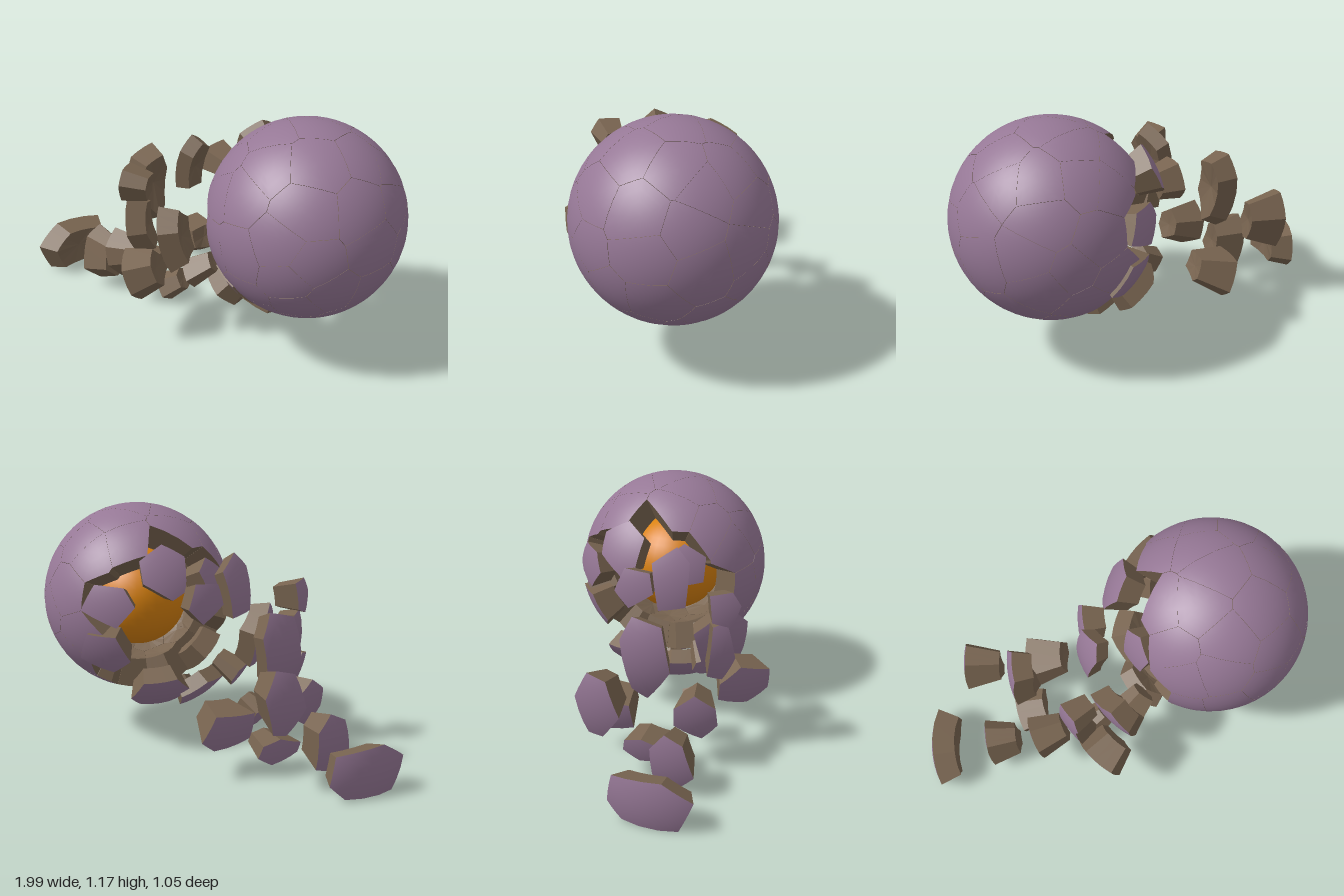
import * as THREE from 'three';
import { mergeGeometries } from 'three/addons/utils/BufferGeometryUtils.js';

const R = 0.47, INNER = 0.33;
const CENTRE = new THREE.Vector3(0.53, 0.71, 0.05);
const HOLE = new THREE.Vector3(-0.86, -0.25, -0.46).normalize();
const BLAST = new THREE.Vector3(-0.75, 0.2, -0.63);

const crust = new THREE.MeshStandardMaterial({ color: 0x967896 });
const rock = new THREE.MeshStandardMaterial({ color: 0x786450, flatShading: true });
const lava = new THREE.MeshStandardMaterial({ color: 0xd9820f });

let seed = 11;
const rand = () => (seed = (seed * 16807) % 2147483647) / 2147483647;

function geometryFrom(points, normals) {
  const g = new THREE.BufferGeometry();
  const flat = list => new Float32Array(list.flatMap(p => [p.x, p.y, p.z]));
  g.setAttribute('position', new THREE.BufferAttribute(flat(points), 3));
  if (normals) g.setAttribute('normal', new THREE.BufferAttribute(flat(normals), 3));
  else g.computeVertexNormals();
  return g;
}

// A block of shell: curved outer cap, plus flat walls and an inner face.
// The corners run counter-clockwise around the axis, seen from outside.
function shellBlock(axis, corners, inner, steps = 3) {
  const rim = [];
  corners.forEach((a, i) => {
    const b = corners[(i + 1) % corners.length];
    for (let k = 0; k < steps; k++) rim.push(a.clone().lerp(b, k / steps));
  });
  const cap = [], body = [];
  const at = (p, t) => axis.clone().lerp(p, t).normalize();
  rim.forEach((p, i) => {
    const q = rim[(i + 1) % rim.length];
    for (let k = 0; k < steps; k++) {
      const [a, b, c, d] = [at(p, k / steps), at(p, (k + 1) / steps), at(q, (k + 1) / steps), at(q, k / steps)];
      cap.push(a, b, c);
      if (k) cap.push(a, c, d);
    }
    const a = at(p, 1).multiplyScalar(R), b = at(q, 1).multiplyScalar(R);
    const c = at(p, 1).multiplyScalar(inner), d = at(q, 1).multiplyScalar(inner);
    body.push(c, d, b, c, b, a, axis.clone().multiplyScalar(inner), d, c);
  });
  return {
    cap: geometryFrom(cap.map(p => p.clone().multiplyScalar(R)), cap),
    body: geometryFrom(body)
  };
}

// Keep the part of a polygon nearer to one seed than to another
function clip(poly, side) {
  const out = [];
  poly.forEach((a, i) => {
    const b = poly[(i + 1) % poly.length];
    const da = a.dot(side), db = b.dot(side);
    if (da <= 0) out.push(a);
    if (da * db < 0) out.push(a.clone().lerp(b, da / (da - db)));
  });
  return out;
}

function mesh(name, geometry, material) {
  const m = new THREE.Mesh(geometry, material);
  m.name = name;
  return m;
}

// Cracked shell of irregular cells, broken open on one side
function makeShell() {
  const N = 58, seeds = [], caps = [], bodies = [];
  const jitter = () => (rand() - 0.5) * 0.32;
  for (let i = 0; i < N; i++) {
    const y = 1 - (2 * i + 1) / N, a = i * 2.39996, r = Math.sqrt(1 - y * y);
    seeds.push(new THREE.Vector3(r * Math.cos(a) + jitter(), y + jitter(), r * Math.sin(a) + jitter()).normalize());
  }
  for (const s of seeds) {
    if (s.dot(HOLE) > 0.46) continue;
    const u = new THREE.Vector3(0, 1, 0).cross(s).normalize();
    const v = s.clone().cross(u);
    let poly = [[-2, -2], [2, -2], [2, 2], [-2, 2]].map(([x, y]) =>
      s.clone().addScaledVector(u, x).addScaledVector(v, y));
    for (const o of seeds) if (o !== s) poly = clip(poly, o.clone().sub(s));
    const block = shellBlock(s, poly.map(p => p.lerp(s, 0.006)), INNER);
    caps.push(block.cap);
    bodies.push(block.body);
  }
  const g = new THREE.Group();
  g.name = 'shell';
  g.add(mesh('shellSurface', mergeGeometries(caps), crust), mesh('shellRock', mergeGeometries(bodies), rock));
  return g;
}

// Loose fragment, its crust facing away from the planet and,
// the further it has flown, more along the direction of the blast
function makeFragment([x, y, z, w, h, t]) {
  const n = 5 + Math.floor(rand() * 2), turn = rand() * 6;
  const corners = [];
  for (let i = 0; i < n; i++) {
    const a = turn + (i + (rand() - 0.5) * 0.5) / n * Math.PI * 2;
    const r = 0.53 + rand() * 0.1;
    corners.push(new THREE.Vector3(Math.cos(a) * w * r / R, Math.sin(a) * h * r / R, 1));
  }
  const block = shellBlock(new THREE.Vector3(0, 0, 1), corners, R - t);
  const g = new THREE.Group();
  g.name = 'fragment';
  for (const [name, geo, mat] of [['fragmentCrust', block.cap, crust], ['fragmentRock', block.body, rock]]) {
    geo.translate(0, 0, t / 2 - R);
    g.add(mesh(name, geo, mat));
  }
  g.position.set(x, y, z);
  const out = g.position.clone().sub(CENTRE);
  const drift = Math.max(0, out.length() - 0.8) * 2;
  g.lookAt(out.normalize().addScaledVector(BLAST, drift).add(g.position));
  return g;
}

// Position, width, height and thickness of each fragment
const FRAGMENTS = [
  // far end of the trail
  [-0.88, 0.13, -0.23, 0.42, 0.25, 0.11],
  [-0.61, 0.18, -0.09, 0.19, 0.28, 0.15],
  [-0.52, 0.45, -0.4, 0.2, 0.29, 0.17],
  [-0.38, 0.14, -0.18, 0.23, 0.13, 0.14],
  [-0.4, 0.31, 0.04, 0.18, 0.23, 0.16],
  // middle of the trail
  [-0.2, 0.26, -0.32, 0.26, 0.23, 0.18],
  [-0.41, 0.61, -0.2, 0.22, 0.42, 0.1],
  [-0.29, 0.78, 0.17, 0.15, 0.17, 0.13],
  [-0.28, 0.55, 0.16, 0.13, 0.31, 0.1],
  [-0.21, 0.37, 0.28, 0.25, 0.23, 0.14],
  [-0.14, 0.21, 0.07, 0.16, 0.12, 0.12],
  [-0.09, 0.54, 0.2, 0.28, 0.32, 0.1],
  [-0.1, 0.83, -0.04, 0.19, 0.31, 0.07],
  [0, 0.79, -0.2, 0.18, 0.19, 0.11],
  [0.04, 0.38, 0.15, 0.18, 0.13, 0.14],
  // blocks lifting off the rim
  [0.19, 0.9, -0.22, 0.24, 0.24, 0.12],
  [0.14, 0.83, 0.06, 0.18, 0.2, 0.12],
  [0.4, 0.75, -0.36, 0.25, 0.2, 0.11],
  [0.45, 0.53, -0.33, 0.26, 0.22, 0.12],
  [0.28, 0.42, 0.24, 0.27, 0.23, 0.1],
  [0.16, 0.28, 0.05, 0.28, 0.24, 0.08],
  [0.3, 0.24, 0, 0.28, 0.26, 0.08],
  [0.25, 0.32, -0.18, 0.28, 0.24, 0.1]
];

export function createModel() {
  const model = new THREE.Group();
  model.name = 'shatteredPlanet';

  const planet = new THREE.Group();
  planet.name = 'planet';
  planet.position.copy(CENTRE);
  planet.add(makeShell(), mesh('moltenCore', new THREE.SphereGeometry(0.25, 32, 20), lava));

  const trail = new THREE.Group();
  trail.name = 'fragmentTrail';
  FRAGMENTS.forEach(f => trail.add(makeFragment(f)));

  model.add(planet, trail);
  return model;
}
